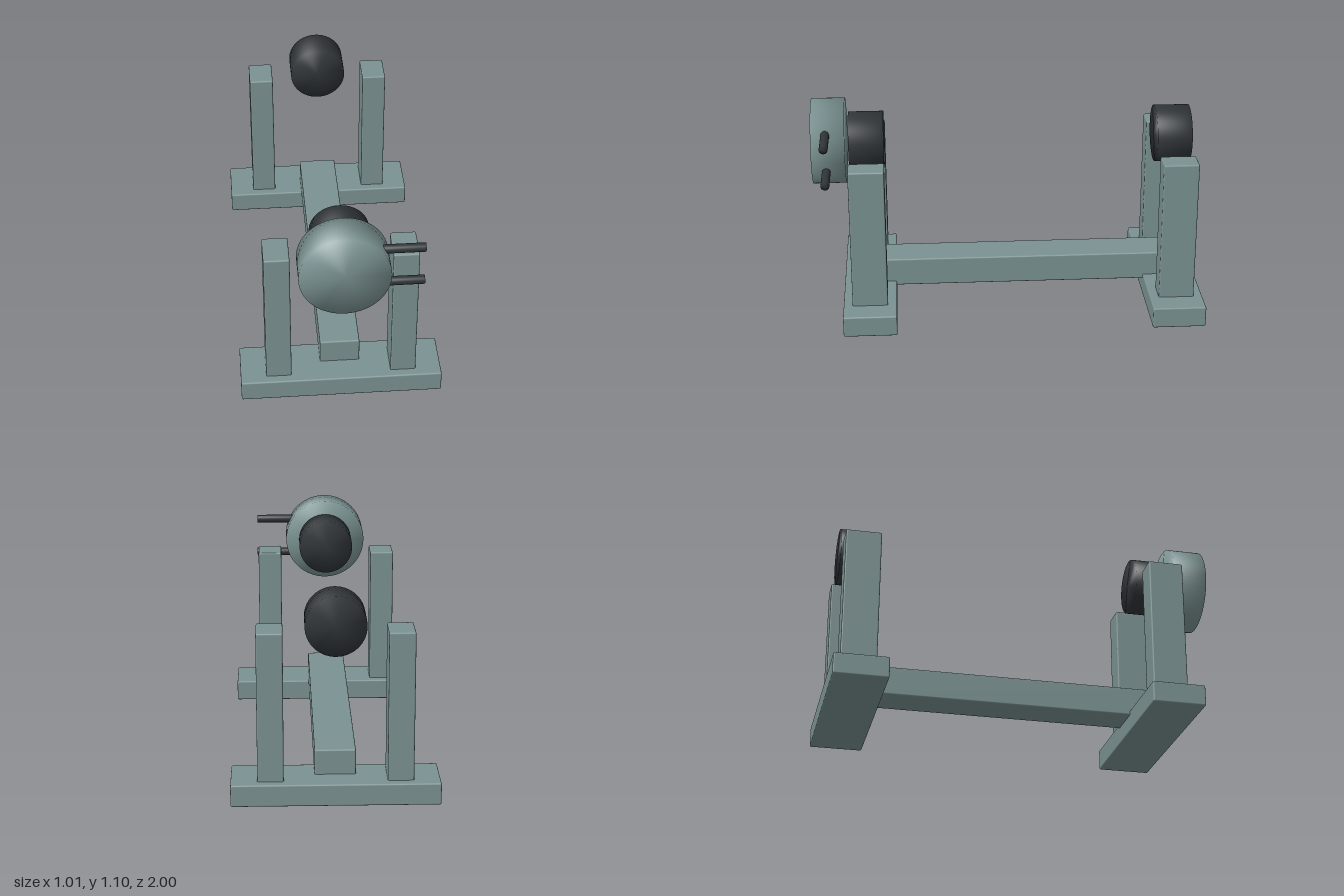
import * as THREE from 'three';
import { mergeVertices } from 'three/addons/utils/BufferGeometryUtils.js';
import { RoundedBoxGeometry } from 'three/addons/geometries/RoundedBoxGeometry.js';

const paint = new THREE.MeshStandardMaterial({ color: 0x7b9292 });
const dark = new THREE.MeshStandardMaterial({ color: 0x303538 });

// Timber with softened edges, given by its centre and size
function timber(name, [x, y, z], [w, h, d]) {
  const mesh = new THREE.Mesh(new RoundedBoxGeometry(w, h, d, 2, 0.008), paint);
  mesh.name = name;
  mesh.position.set(x, y, z);
  return mesh;
}

// Round part whose shading runs smoothly over the rim onto the end faces
function drum(name, radius, length, material, [x, y, z], axis) {
  let geo = new THREE.CylinderGeometry(radius, radius, length, 64);
  geo.deleteAttribute('normal');
  geo.deleteAttribute('uv');
  geo = mergeVertices(geo);
  geo.computeVertexNormals();
  if (axis === 'z') geo.rotateX(Math.PI / 2);
  else geo.rotateZ(Math.PI / 2);
  const mesh = new THREE.Mesh(geo, material);
  mesh.name = name;
  mesh.position.set(x, y, z);
  return mesh;
}

export function createModel() {
  const model = new THREE.Group();
  model.name = 'rollerStand';
  const axleY = 0.88, frontZ = 0.723, backZ = -0.863;

  // Two identical end frames: foot, pair of posts and dark roller
  for (const [end, z] of [['front', frontZ], ['back', backZ]]) {
    const frame = new THREE.Group();
    frame.name = end + 'Frame';
    frame.position.z = z;
    frame.add(timber('foot', [0, 0.055, 0], [1.01, 0.11, 0.274]));
    for (const [side, s] of [['left', 1], ['right', -1]]) {
      frame.add(timber(side + 'Post', [s * 0.313, 0.45, 0], [0.127, 0.796, 0.182]));
    }
    frame.add(drum('roller', 0.147, 0.18, dark, [0, axleY, 0], 'z'));
    model.add(frame);
  }

  // Long beam joining the feet
  model.add(timber('beam', [0, 0.161, (frontZ + backZ) / 2], [0.2, 0.15, frontZ - backZ]));

  // Large disc in front with two handle pins on its left side
  model.add(drum('disc', 0.22, 0.172, paint, [0, axleY, 0.914], 'z'));
  for (const [name, y] of [['upperPin', 0.98], ['lowerPin', 0.786]]) {
    model.add(drum(name, 0.022, 0.21, dark, [0.28, y, 0.926], 'x'));
  }
  return model;
}
